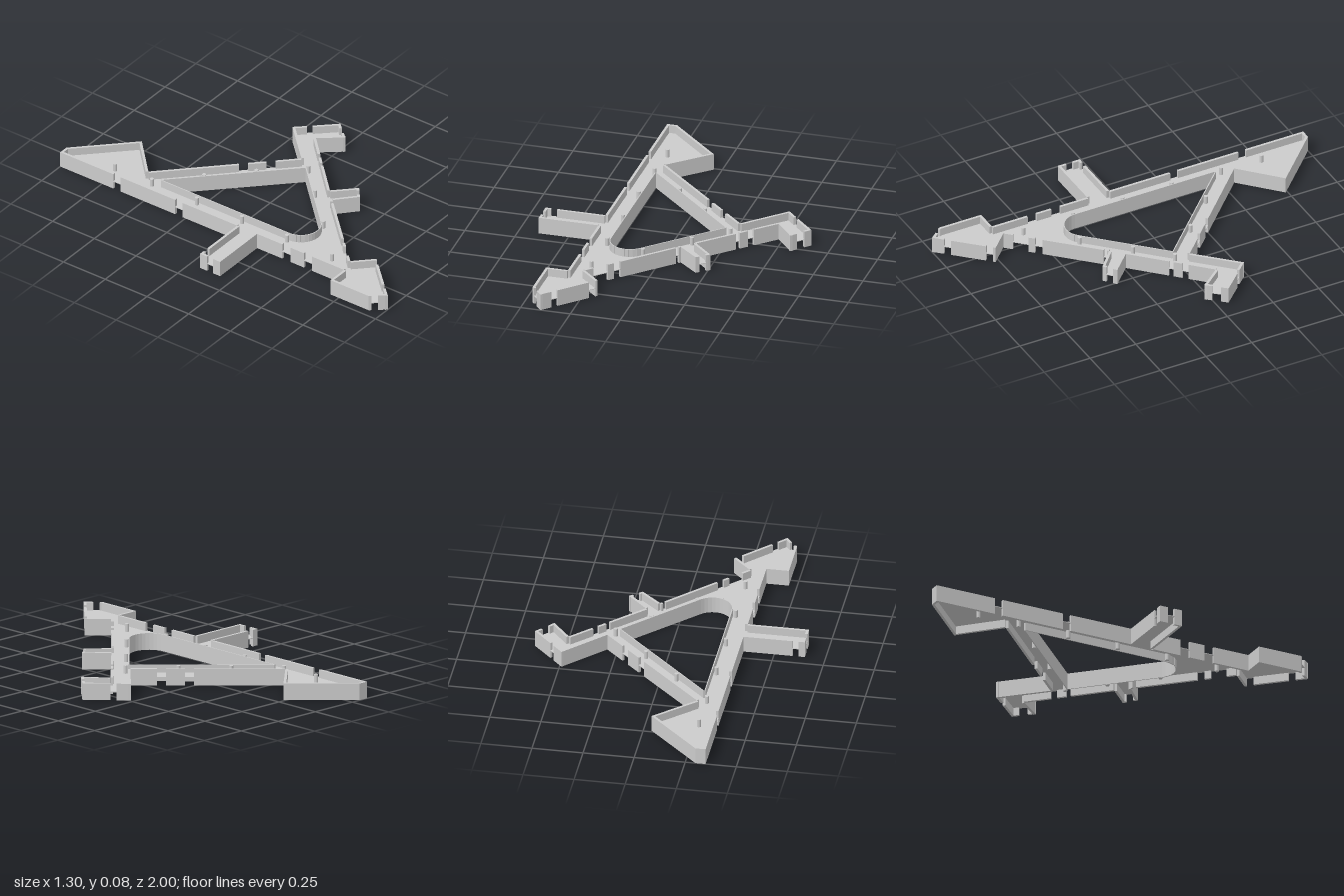
import * as THREE from 'three';

const HEIGHT = 0.083;
const FLOOR_Y = 0.04;
const WALL = 0.013;

// Outer wall corners [x, z, ...gaps as [from, to] along the edge to the next corner]
const OUTLINE = [
  [-0.35, -1], [-0.3, -1], [-0.04, -0.74],
  [-0.23, -0.56, [0.59, 0.65], [0.77, 0.83]],
  [0.3, -0.035],
  [0.49, -0.23, [0.3, 0.42]],
  [0.65, -0.06, [0.32, 0.68]],
  [0.57, 0.03],
  [0.48, -0.08, [0.3, 0.37], [0.47, 0.52]],
  [0.16, 0.24],
  [0.26, 0.34, [0.28, 0.72]],
  [0.2, 0.39],
  [0.1, 0.3, [0.02, 0.05], [0.63, 0.7], [0.76, 0.91]],
  [-0.27, 0.68],
  [-0.18, 0.77, [0.04, 0.15], [0.7, 0.81]],
  [-0.4, 1, [0.5, 0.85]],
  [-0.46, 0.93], [-0.46, 0.7],
  [-0.35, 0.7, [0.365, 0.46], [0.615, 0.71]],
  [-0.35, 0.18],
  [-0.65, 0.18, [0.35, 0.65]],
  [-0.65, 0.06, [0.1, 0.2]],
  [-0.35, 0.06, [0.31, 0.35], [0.66, 0.7]],
];

// Triangular courtyard with one rounded corner
function courtyardPoints() {
  const pts = [[-0.25, -0.465], [0.245, 0.03]];
  for (let i = 0; i <= 12; i++) {
    const a = Math.PI / 4 + (i / 12) * Math.PI * 0.75;
    pts.push([-0.155 + 0.095 * Math.cos(a), 0.3 + 0.095 * Math.sin(a)]);
  }
  return pts;
}

const POSTS = [
  [-0.27, -0.73], [-0.27, -0.51], [-0.27, -0.24], [-0.27, 0.03], [-0.27, 0.3], [-0.27, 0.57],
  [-0.09, -0.33], [0.09, -0.15], [0.27, 0.03], [0.12, 0.18], [-0.07, 0.37],
];

export function createModel() {
  const model = new THREE.Group();
  const material = new THREE.MeshStandardMaterial({ color: 0xcccccc, flatShading: true });

  const add = (parent, geometry, name) => {
    const mesh = new THREE.Mesh(geometry, material);
    mesh.name = name;
    parent.add(mesh);
    return mesh;
  };

  // Upright wall from a to b; its thickness lies to the inner side (side = 1) or outer side (-1)
  const addWall = (parent, a, b, t0, t1, thickness, side, name) => {
    const dx = b[0] - a[0], dz = b[1] - a[1];
    const length = Math.hypot(dx, dz);
    const mid = (t0 + t1) / 2;
    const off = (side * thickness) / 2 / length;
    const wall = add(parent, new THREE.BoxGeometry(length * (t1 - t0), HEIGHT, thickness), name);
    wall.position.set(a[0] + dx * mid - dz * off, HEIGHT / 2, a[1] + dz * mid + dx * off);
    wall.rotation.y = -Math.atan2(dz, dx);
  };

  // Floor with the courtyard cut out, set halfway up the walls
  const courtyard = courtyardPoints();
  const toVectors = (pts) => pts.map((p) => new THREE.Vector2(p[0], -p[1]));
  const shape = new THREE.Shape(toVectors(OUTLINE));
  shape.holes.push(new THREE.Path(toVectors(courtyard)));
  const floor = new THREE.ExtrudeGeometry(shape, { depth: 0.003, bevelEnabled: false });
  floor.rotateX(-Math.PI / 2).translate(0, FLOOR_Y, 0);
  add(model, floor, 'floor');

  // Outer walls, broken by door and window gaps
  const outer = new THREE.Group();
  outer.name = 'outerWalls';
  OUTLINE.forEach((corner, i) => {
    const next = OUTLINE[(i + 1) % OUTLINE.length];
    let start = 0;
    for (const [from, to] of [...corner.slice(2), [1, 1]]) {
      addWall(outer, corner, next, start, from, WALL, 1, 'outerWall');
      start = to;
    }
  });
  model.add(outer);

  // Unbroken wall round the courtyard
  const inner = new THREE.Group();
  inner.name = 'courtyardWalls';
  courtyard.forEach((p, i) => {
    addWall(inner, p, courtyard[(i + 1) % courtyard.length], 0, 1, 0.005, -1, 'courtyardWall');
  });
  model.add(inner);

  // Round posts along the corridors
  const posts = new THREE.Group();
  posts.name = 'posts';
  const postGeometry = new THREE.CylinderGeometry(0.01, 0.01, HEIGHT, 16);
  for (const [x, z] of POSTS) add(posts, postGeometry, 'post').position.set(x, HEIGHT / 2, z);
  model.add(posts);

  return model;
}
